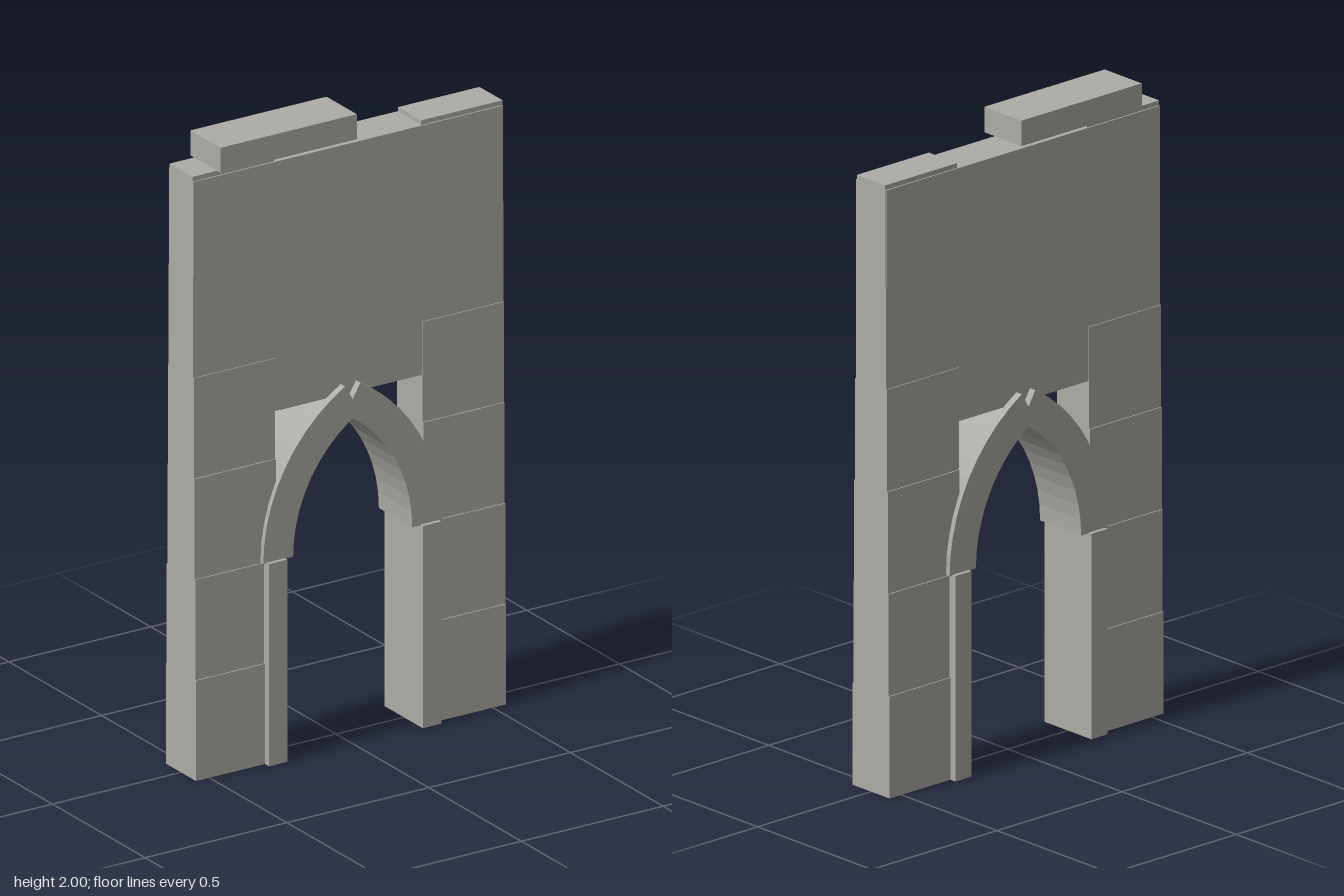
import * as THREE from 'three';

export function createModel() {
  const group = new THREE.Group();
  const stone = new THREE.MeshStandardMaterial({ color: 0xaeaca6, flatShading: true });
  stone.name = 'stone';

  // Block from its lower and upper bounds in x and y, and its half depth
  function block(name, x0, x1, y0, y1, halfZ) {
    const mesh = new THREE.Mesh(new THREE.BoxGeometry(x1 - x0, y1 - y0, halfZ * 2), stone);
    mesh.position.set((x0 + x1) / 2, (y0 + y1) / 2, 0);
    mesh.name = name;
    group.add(mesh);
  }

  // Pointed arch half: a ring sector that runs slightly past the centre line
  const centreX = 0.2665, springY = 0.643, innerR = 0.4765, outerR = 0.5815;
  const endAngle = THREE.MathUtils.degToRad(59.7), segments = 10, archHalfZ = 0.09;
  function archHalf(side) {
    const points = [];
    for (let i = 0; i <= segments; i++) points.push([outerR, (endAngle * i) / segments]);
    for (let i = segments; i >= 0; i--) points.push([innerR, (endAngle * i) / segments]);
    const shape = new THREE.Shape(points.map(([r, a]) =>
      new THREE.Vector2(side * (r * Math.cos(a) - centreX), springY + r * Math.sin(a))));
    const geometry = new THREE.ExtrudeGeometry(shape, { depth: archHalfZ * 2, bevelEnabled: false });
    geometry.translate(0, 0, -archHalfZ);
    const mesh = new THREE.Mesh(geometry, stone);
    mesh.name = side > 0 ? 'leftArchHalf' : 'rightArchHalf';
    group.add(mesh);
  }

  const tierHeight = 0.32;
  for (const side of [-1, 1]) {
    const label = side > 0 ? 'left' : 'right';
    const span = (a, b) => (side > 0 ? [a, b] : [-b, -a]);
    // Pier of six courses, each a little thinner than the one below
    for (let i = 0; i < 6; i++) {
      block(`${label}PierCourse${i + 1}`, ...span(0.26, 0.547),
        i * tierHeight, (i + 1) * tierHeight, 0.0815 - i * 0.0039);
    }
    // Jamb under the arch spring
    block(`${label}Jamb`, ...span(0.239, 0.304), 0, 0.645, 0.103);
    archHalf(side);
  }

  // Wall above the opening, and the remaining coping stone
  block('upperWall', -0.546, 0.546, 1.11, 1.905, 0.0665);
  block('copingStone', -0.46, 0.02, 1.92, 2.0, 0.0815);

  return group;
}
